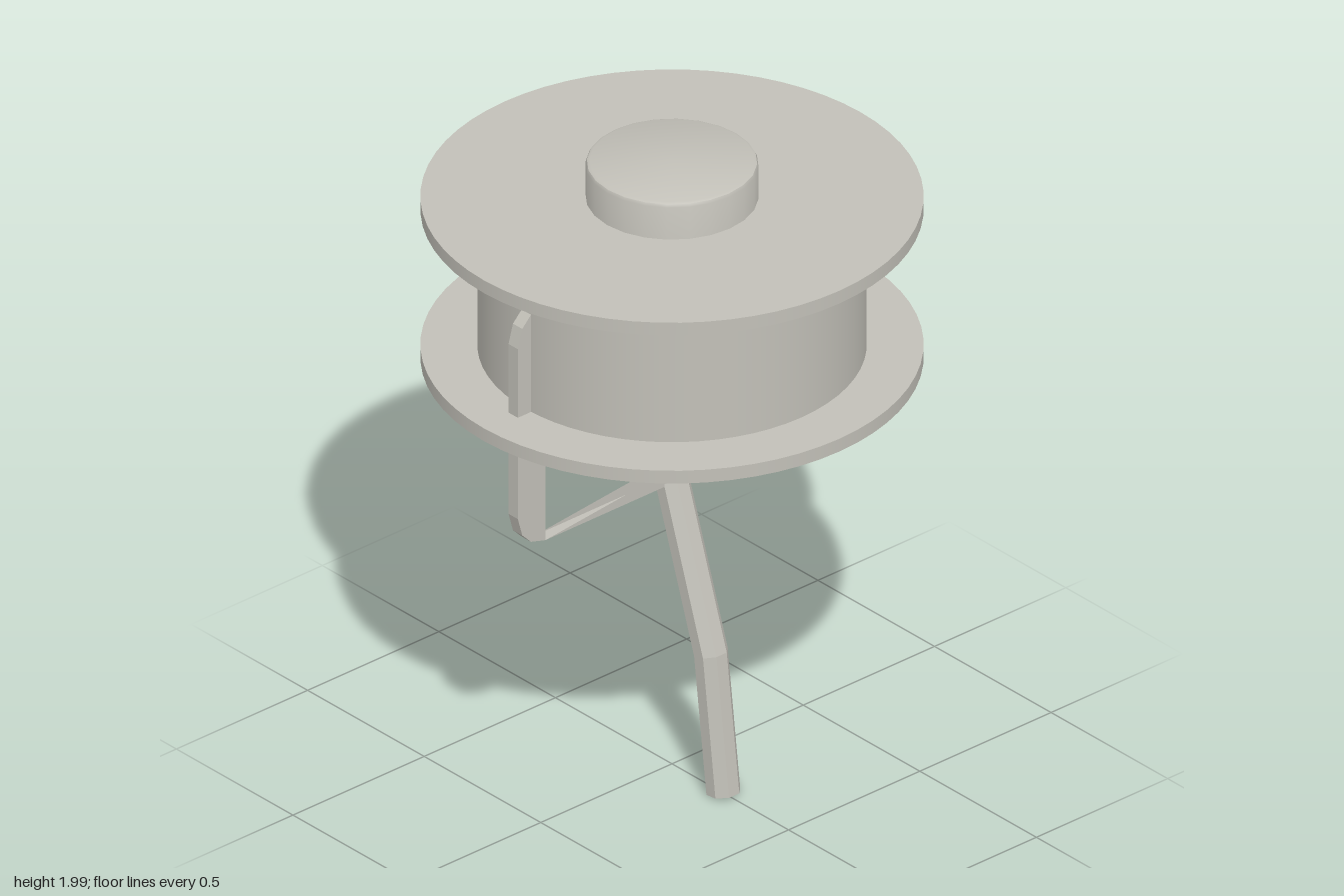
import * as THREE from 'three';
import { toCreasedNormals } from 'three/addons/utils/BufferGeometryUtils.js';

const HALF = 0.02; // half thickness of the bracket

// Closed rounded rectangle with chamfered corners, counter-clockwise from the right side
function roundedLoop(hw, hh, cy, cx, cyr) {
  const corner = [[0, cyr], [0.16 * cx, 0.45 * cyr], [0.48 * cx, 0.14 * cyr], [cx, 0]];
  const pts = [];
  for (const [sx, sy] of [[1, 1], [-1, 1], [-1, -1], [1, -1]]) {
    const c = sx * sy > 0 ? corner : [...corner].reverse();
    for (const [dx, dy] of c) pts.push(new THREE.Vector2(sx * (hw - dx), cy + sy * (hh - dy)));
  }
  return pts;
}

// Open band of wall running along a loop
function wall(pts) {
  const pos = [];
  pts.forEach((a, i) => {
    const b = pts[(i + 1) % pts.length];
    pos.push(a.x, a.y, HALF, a.x, a.y, -HALF, b.x, b.y, -HALF);
    pos.push(a.x, a.y, HALF, b.x, b.y, -HALF, b.x, b.y, HALF);
  });
  const g = new THREE.BufferGeometry();
  g.setAttribute('position', new THREE.Float32BufferAttribute(pos, 3));
  g.computeVertexNormals();
  return g;
}

export function createModel() {
  const model = new THREE.Group();
  model.name = 'spoolOnStand';
  const grey = new THREE.MeshStandardMaterial({ color: 0xc2c0b8, side: THREE.DoubleSide });
  grey.name = 'warmGrey';

  const add = (name, geometry, parent = model) => {
    const mesh = new THREE.Mesh(geometry, grey);
    mesh.name = name;
    parent.add(mesh);
    return mesh;
  };
  const drum = (name, r, y0, y1) => {
    add(name, new THREE.CylinderGeometry(r, r, y1 - y0, 64)).position.y = (y0 + y1) / 2;
  };

  // Spool: barrel between two flanges
  drum('barrel', 0.555, 1.39, 1.845);
  drum('lowerFlange', 0.717, 1.352, 1.394);
  drum('upperFlange', 0.717, 1.84, 1.882);

  // Hub through the spool with softened rims
  const profile = [[0, 1.23], [0.235, 1.23], [0.243, 1.234], [0.247, 1.243],
    [0.247, 1.987], [0.243, 1.996], [0.235, 2], [0, 2]].map(([x, y]) => new THREE.Vector2(x, y));
  add('hub', toCreasedNormals(new THREE.LatheGeometry(profile, 24), 0.6));

  // Bracket: outer and inner walls, with partial side plates
  const bracket = new THREE.Group();
  bracket.name = 'bracket';
  model.add(bracket);
  const outer = roundedLoop(0.605, 0.39, 1.34, 0.105, 0.11);
  add('bracketOuterWall', wall(outer), bracket);
  add('bracketInnerWall', wall(roundedLoop(0.3, 0.23, 1.34, 0.055, 0.055)), bracket);

  const plates = {
    leftArmPlate: outer.slice(4, 12),
    bottomPlate: [outer[11], ...outer.slice(12, 16)],
    rightArmPlate: [outer[15], outer[0], outer[1], outer[2]],
  };
  for (const [name, pts] of Object.entries(plates)) {
    for (const side of [1, -1]) {
      const g = new THREE.ShapeGeometry(new THREE.Shape(pts));
      if (side < 0) g.rotateY(Math.PI).scale(-1, 1, 1);
      // Keep the winding facing outward after mirroring
      if (side < 0) {
        const idx = g.index.array;
        for (let i = 0; i < idx.length; i += 3) [idx[i], idx[i + 1]] = [idx[i + 1], idx[i]];
        g.computeVertexNormals();
      }
      g.translate(0, 0, side * HALF);
      add(name, g, bracket);
    }
  }

  // Bent eight-sided handle: rings are moved onto a path of three joints
  const joints = [
    { y: 0.016, z: 0.22, tilt: 0.12 },
    { y: 0.452, z: 0.167, tilt: 0.22 },
    { y: 0.952, z: 0, tilt: 0.322 },
  ];
  const rod = new THREE.CylinderGeometry(0.051, 0.051, 1, 8, 2, false, Math.PI / 8);
  const p = rod.attributes.position;
  for (let i = 0; i < p.count; i++) {
    const j = joints[Math.round((p.getY(i) + 0.5) * 2)];
    const d = p.getZ(i);
    p.setXYZ(i, p.getX(i), j.y + d * Math.sin(j.tilt), j.z + d * Math.cos(j.tilt));
  }
  const flatRod = rod.toNonIndexed();
  flatRod.computeVertexNormals();
  add('handle', flatRod);

  return model;
}
